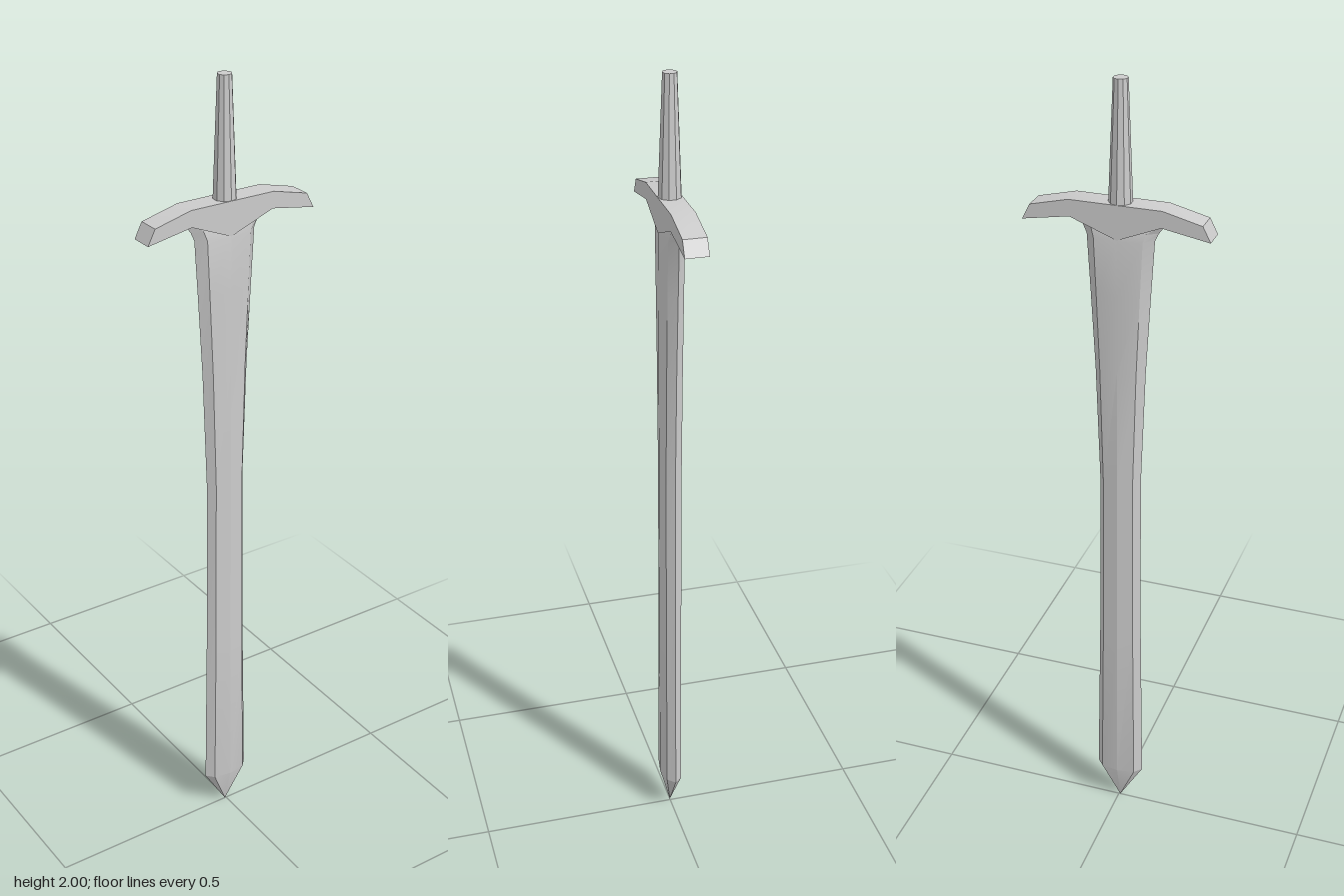
import * as THREE from 'three';
import { toCreasedNormals } from 'three/addons/utils/BufferGeometryUtils.js';

const CX = -0.004; // blade and grip sit a hair off the guard's centre

function makeMesh(name, geometry) {
  const material = new THREE.MeshStandardMaterial({ color: 0xcccccc });
  const mesh = new THREE.Mesh(toCreasedNormals(geometry, 0.35), material);
  mesh.name = name;
  return mesh;
}

// Skins stacked [y, halfWidth, halfDepth] sections of a bevelled diamond
function bladeGeometry(sections) {
  const outline = [[1, 0], [0.72, 0.72], [0, 1], [-0.72, 0.72], [-1, 0], [-0.72, -0.72], [0, -1], [0.72, -0.72]];
  const n = outline.length;
  const positions = [];
  const index = [];
  for (const [y, w, d] of sections) {
    for (const [u, v] of outline) positions.push(u * w, y, v * d);
  }
  for (let i = 0; i < sections.length - 1; i++) {
    for (let j = 0; j < n; j++) {
      const k = (j + 1) % n;
      const a = i * n + j, b = a + n, c = i * n + k, d = c + n;
      if (i > 0) index.push(a, b, c); // the first ring is the single tip point
      index.push(b, d, c);
    }
  }
  const geometry = new THREE.BufferGeometry();
  geometry.setAttribute('position', new THREE.Float32BufferAttribute(positions, 3));
  geometry.setIndex(index);
  return geometry;
}

export function createModel() {
  const group = new THREE.Group();
  group.name = 'sword';

  // Blade: pointed tip, narrow waist, flaring into the guard
  const blade = makeMesh('blade', bladeGeometry([
    [0, 0, 0],
    [0.105, 0.062, 0.027],
    [0.55, 0.055, 0.027],
    [1.0, 0.052, 0.027],
    [1.3, 0.062, 0.027],
    [1.5, 0.073, 0.027],
    [1.635, 0.081, 0.027],
    [1.655, 0.09, 0.022],
    [1.685, 0.112, 0.014],
  ]));
  blade.position.x = CX;
  group.add(blade);

  // Guard: drooping crossbar with a shallow V underneath
  const half = [[0.11, 1.72], [0.203, 1.697], [0.222, 1.66], [0.108, 1.68]];
  const points = [
    ...half,
    [CX, 1.637],
    ...half.map(([x, y]) => [-x, y]).reverse(),
  ].map(([x, y]) => new THREE.Vector2(x, y));
  const guardGeometry = new THREE.ExtrudeGeometry(new THREE.Shape(points), { depth: 0.056, bevelEnabled: false });
  guardGeometry.translate(0, 0, -0.028);
  group.add(makeMesh('guard', guardGeometry));

  // Grip: tapered ten-sided rod
  const grip = makeMesh('grip', new THREE.CylinderGeometry(0.017, 0.028, 0.29, 10));
  grip.position.set(CX, 1.855, 0);
  group.add(grip);

  return group;
}
